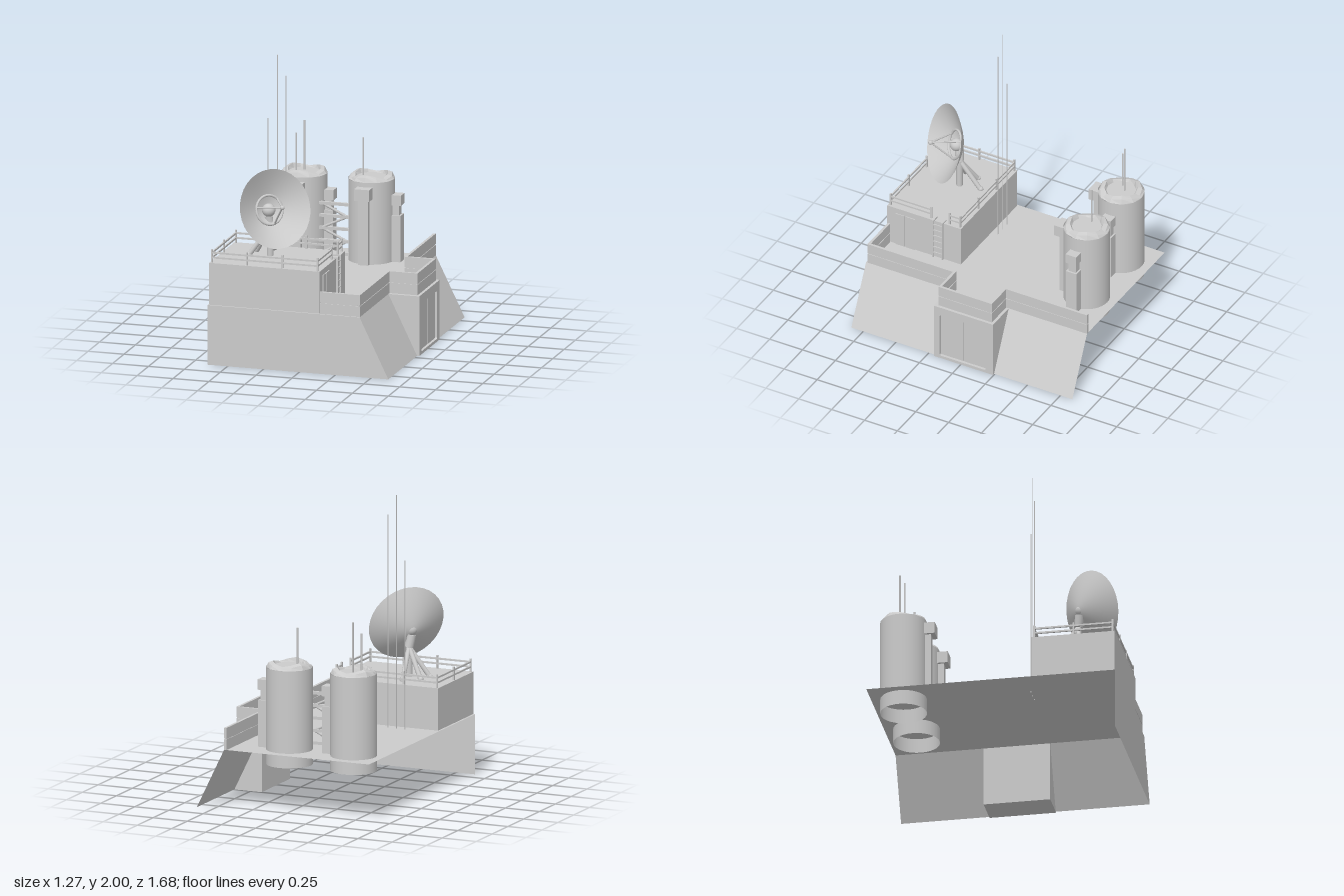
import * as THREE from 'three';

const grey = new THREE.MeshStandardMaterial({ color: 0xcccccc, side: THREE.DoubleSide });
const flatGrey = new THREE.MeshStandardMaterial({ color: 0xcccccc, side: THREE.DoubleSide, flatShading: true });
const V = (x, y, z) => new THREE.Vector3(x, y, z);

function add(parent, name, geometry, material = grey) {
  const mesh = new THREE.Mesh(geometry, material);
  mesh.name = name;
  parent.add(mesh);
  return mesh;
}

function group(parent, name) {
  const g = new THREE.Group();
  g.name = name;
  parent.add(g);
  return g;
}

// Box given by its min and max corners
function box(parent, name, x0, x1, y0, y1, z0, z1) {
  const mesh = add(parent, name, new THREE.BoxGeometry(x1 - x0, y1 - y0, z1 - z0));
  mesh.position.set((x0 + x1) / 2, (y0 + y1) / 2, (z0 + z1) / 2);
  return mesh;
}

// Round bar between two points
function rod(parent, name, a, b, r, sides = 8) {
  const mesh = add(parent, name, new THREE.CylinderGeometry(r, r, a.distanceTo(b), sides));
  mesh.position.copy(a).add(b).multiplyScalar(0.5);
  mesh.quaternion.setFromUnitVectors(V(0, 1, 0), b.clone().sub(a).normalize());
  return mesh;
}

// Flat polygon from corners in order
function sheet(parent, name, corners) {
  const g = new THREE.BufferGeometry().setFromPoints(corners);
  g.setIndex(corners.slice(2).flatMap((_, i) => [0, i + 1, i + 2]));
  g.computeVertexNormals();
  return add(parent, name, g);
}

function roundRect(target, x0, x1, y0, y1, r) {
  target.moveTo(x0 + r, y0).lineTo(x1 - r, y0).quadraticCurveTo(x1, y0, x1, y0 + r)
    .lineTo(x1, y1 - r).quadraticCurveTo(x1, y1, x1 - r, y1)
    .lineTo(x0 + r, y1).quadraticCurveTo(x0, y1, x0, y1 - r)
    .lineTo(x0, y0 + r).quadraticCurveTo(x0, y0, x0 + r, y0);
  return target;
}

function buildBase(root) {
  const base = group(root, 'base');
  const H = 0.41;
  sheet(base, 'roofDeck', [V(-0.64, H, 0.84), V(0.42, H, 0.84), V(0.42, H, -0.84), V(-0.64, H, -0.84)]);
  sheet(base, 'frontWall', [V(-0.64, 0, 0.84), V(0.62, 0, 0.84), V(0.42, H, 0.84), V(-0.64, H, 0.84)]);
  sheet(base, 'slopedWall', [V(0.62, 0, 0.84), V(0.62, 0, -0.84), V(0.42, H, -0.84), V(0.42, H, 0.84)]);

  // Door bay with a framed double door
  const bay = group(base, 'doorBay');
  box(bay, 'bayBody', 0.42, 0.615, 0, H, -0.245, 0.205);
  const frame = new THREE.Shape([[-0.205, 0], [0.245, 0], [0.245, H], [-0.205, H]].map(p => new THREE.Vector2(...p)));
  frame.holes.push(roundRect(new THREE.Path(), -0.16, 0.19, 0.02, 0.35, 0.012));
  const frameMesh = add(bay, 'doorFrame', new THREE.ExtrudeGeometry(frame, { depth: 0.02, bevelEnabled: false }));
  frameMesh.rotation.y = Math.PI / 2;
  frameMesh.position.x = 0.615;
  box(bay, 'doorLeaf', 0.612, 0.622, 0.025, 0.345, -0.185, -0.022);
  box(bay, 'doorLeaf', 0.612, 0.622, 0.025, 0.345, -0.008, 0.155);

  // Parapet: two courses with a narrow groove between them
  const parapet = group(base, 'parapet');
  const t = 0.018;
  const runs = [
    [0.42 - t, 0.42, -0.84, -0.225], [0.42 - t, 0.615, -0.225, -0.225 + t],
    [0.615 - t, 0.615, -0.225 + t, 0.18 - t], [0.42 - t, 0.615, 0.18 - t, 0.18],
    [0.42 - t, 0.42, 0.18, 0.83], [0.14, 0.42 - t, 0.83 - t, 0.83],
  ];
  for (const [x0, x1, z0, z1] of runs) {
    box(parapet, 'lowerCourse', x0, x1, H, 0.482, z0, z1);
    box(parapet, 'grooveCore', x0 + 0.004, x1 - 0.004, 0.482, 0.488, z0 + 0.004, z1 - 0.004);
    box(parapet, 'upperCourse', x0, x1, 0.488, 0.56, z0, z1);
  }
}

function buildPlatform(root) {
  const p = group(root, 'platform');
  const top = 0.7;
  box(p, 'platformBlock', -0.63, 0.14, 0.412, top, 0.275, 0.835);
  box(p, 'hutDoor', 0.14, 0.146, 0.412, 0.66, 0.70, 0.77);
  box(p, 'hutDoor', 0.14, 0.146, 0.412, 0.66, 0.622, 0.692);

  // Railing, left open at the ladder
  const rail = group(p, 'railing');
  const path = [V(0.12, top, 0.37), V(0.12, top, 0.29), V(-0.615, top, 0.29), V(-0.615, top, 0.82), V(0.12, top, 0.82), V(0.12, top, 0.51)];
  for (let i = 0; i < path.length - 1; i++) {
    const a = path[i], b = path[i + 1];
    for (const h of [0.035, 0.068]) {
      const m = a.clone().lerp(b, 0.5);
      const dx = Math.abs(a.x - b.x) / 2 + 0.005, dz = Math.abs(a.z - b.z) / 2 + 0.005;
      box(rail, 'railBar', m.x - dx, m.x + dx, top + h - 0.006, top + h + 0.006, m.z - dz, m.z + dz);
    }
    const n = Math.max(1, Math.round(a.distanceTo(b) / 0.26));
    for (let k = i ? 1 : 0; k <= n; k++) {
      const q = a.clone().lerp(b, k / n);
      box(rail, 'railPost', q.x - 0.006, q.x + 0.006, top, top + 0.09, q.z - 0.006, q.z + 0.006);
    }
  }

  const ladder = group(p, 'ladder');
  for (const z of [0.41, 0.48]) {
    box(ladder, 'ladderSide', 0.145, 0.156, 0.412, 0.71, z - 0.005, z + 0.005);
    box(ladder, 'ladderHook', 0.10, 0.156, 0.70, 0.71, z - 0.005, z + 0.005);
  }
  for (let y = 0.45; y < 0.7; y += 0.045) box(ladder, 'rung', 0.147, 0.154, y - 0.004, y + 0.004, 0.41, 0.48);
}

function buildDish(root) {
  const dish = group(root, 'dish');
  const R = 0.267, depth = 0.13;
  const head = group(dish, 'dishHead');
  head.position.set(-0.24, 1.045, 0.613);
  head.quaternion.setFromUnitVectors(V(0, 1, 0), V(0.7, 0.3, 0.64).normalize());
  const profile = [];
  for (let i = 0; i <= 10; i++) {
    const u = i / 10;
    profile.push(new THREE.Vector2(Math.max(0.0001, R * u), -depth * (1 - u ** 1.4)));
  }
  add(head, 'bowl', new THREE.LatheGeometry(profile, 32));
  const ring = add(head, 'feedRing', new THREE.TorusGeometry(0.098, 0.009, 8, 28));
  ring.rotation.x = Math.PI / 2;
  ring.position.y = -0.08;
  add(head, 'hub', new THREE.SphereGeometry(0.045, 16, 12)).position.y = -0.09;
  add(head, 'feedTip', new THREE.SphereGeometry(0.016, 12, 8)).position.y = 0.1;
  for (let i = 0; i < 3; i++) {
    const a = i * Math.PI * 2 / 3 + 0.5;
    rod(head, 'feedStrut', V(0.098 * Math.cos(a), -0.08, 0.098 * Math.sin(a)), V(0, 0.1, 0), 0.006);
  }

  // Column and splayed legs under the bowl
  const apex = V(-0.3, 0.9, 0.53);
  rod(dish, 'mount', apex, V(-0.315, 0.98, 0.54), 0.03, 12);
  rod(dish, 'column', V(-0.3, 0.7, 0.53), apex, 0.022, 12);
  for (const [x, z] of [[-0.32, 0.38], [-0.42, 0.455], [-0.44, 0.56]]) {
    rod(dish, 'leg', V(x, 0.7, z), apex, 0.016, 10);
    add(dish, 'foot', new THREE.SphereGeometry(0.018, 10, 8)).position.set(x, 0.705, z);
  }
}

function buildTank(root, cx, cz) {
  const tank = group(root, 'tank');
  tank.position.set(cx, 0, cz);
  const r = 0.156;
  add(tank, 'tankShell', new THREE.CylinderGeometry(r, r, 0.66, 32, 1, true)).position.y = 0.64;
  // Crown whose rim rises and falls around the circle
  const pts = [[r, 0.97], [0.14, 0.99], [0.112, 1.0], [0.1, 0.98], [0.0001, 0.98]].map(p => new THREE.Vector2(...p));
  const crown = new THREE.LatheGeometry(pts, 12);
  const pos = crown.attributes.position;
  for (let i = 0; i < pos.count; i++) {
    const row = i % pts.length;
    const wave = Math.cos(Math.floor(i / pts.length) * Math.PI / 2);
    if (row === 1 || row === 2) pos.setY(i, pos.getY(i) + 0.012 * wave);
  }
  crown.computeVertexNormals();
  add(tank, 'crown', crown, flatGrey);

  // Pipe ducts at the front and at the left side
  const front = group(tank, 'frontDuct');
  box(front, 'ductHead', -0.052, 0.052, 0.86, 0.94, 0.13, 0.22);
  box(front, 'ductPipe', -0.034, 0.034, 0.412, 0.86, 0.13, 0.19);
  const side = group(tank, 'sideDuct');
  box(side, 'ductHead', 0.13, 0.216, 0.80, 0.87, -0.04, 0.04);
  box(side, 'ductNeck', 0.13, 0.2, 0.73, 0.80, -0.028, 0.028);
  box(side, 'ductPipe', 0.13, 0.213, 0.412, 0.73, -0.04, 0.04);
}

function buildTanks(root) {
  const tanks = group(root, 'tanks');
  for (const x of [-0.43, 0.04]) buildTank(tanks, x, -0.627);

  // Zigzag bracing between the tanks
  const brace = group(tanks, 'bracing');
  const levels = [0.45, 0.535, 0.62, 0.705, 0.79];
  levels.forEach((y, i) => {
    box(brace, 'braceBar', -0.3, -0.09, y - 0.01, y + 0.01, -0.56, -0.54);
    if (!i) return;
    const s = i % 2 ? 1 : -1;
    rod(brace, 'braceDiagonal', V(-0.195 - 0.09 * s, levels[i - 1], -0.55), V(-0.195 + 0.09 * s, y, -0.55), 0.009, 6);
  });
}

export function createModel() {
  const root = new THREE.Group();
  root.name = 'rooftopStation';
  buildBase(root);
  buildPlatform(root);
  buildDish(root);
  buildTanks(root);
  // Whip antennas on the deck, then the short ones on the tanks
  for (const [x, h] of [[-0.41, 1.56], [-0.345, 2], [-0.285, 1.86]]) rod(root, 'whipAntenna', V(x, 0.4, 0.23), V(x, h, 0.23), 0.003, 6);
  for (const [x, h, z] of [[-0.48, 1.24, -0.61], [-0.435, 1.32, -0.65], [-0.02, 1.24, -0.63]]) rod(root, 'tankAntenna', V(x, 0.97, z), V(x, h, z), 0.006, 6);
  return root;
}
